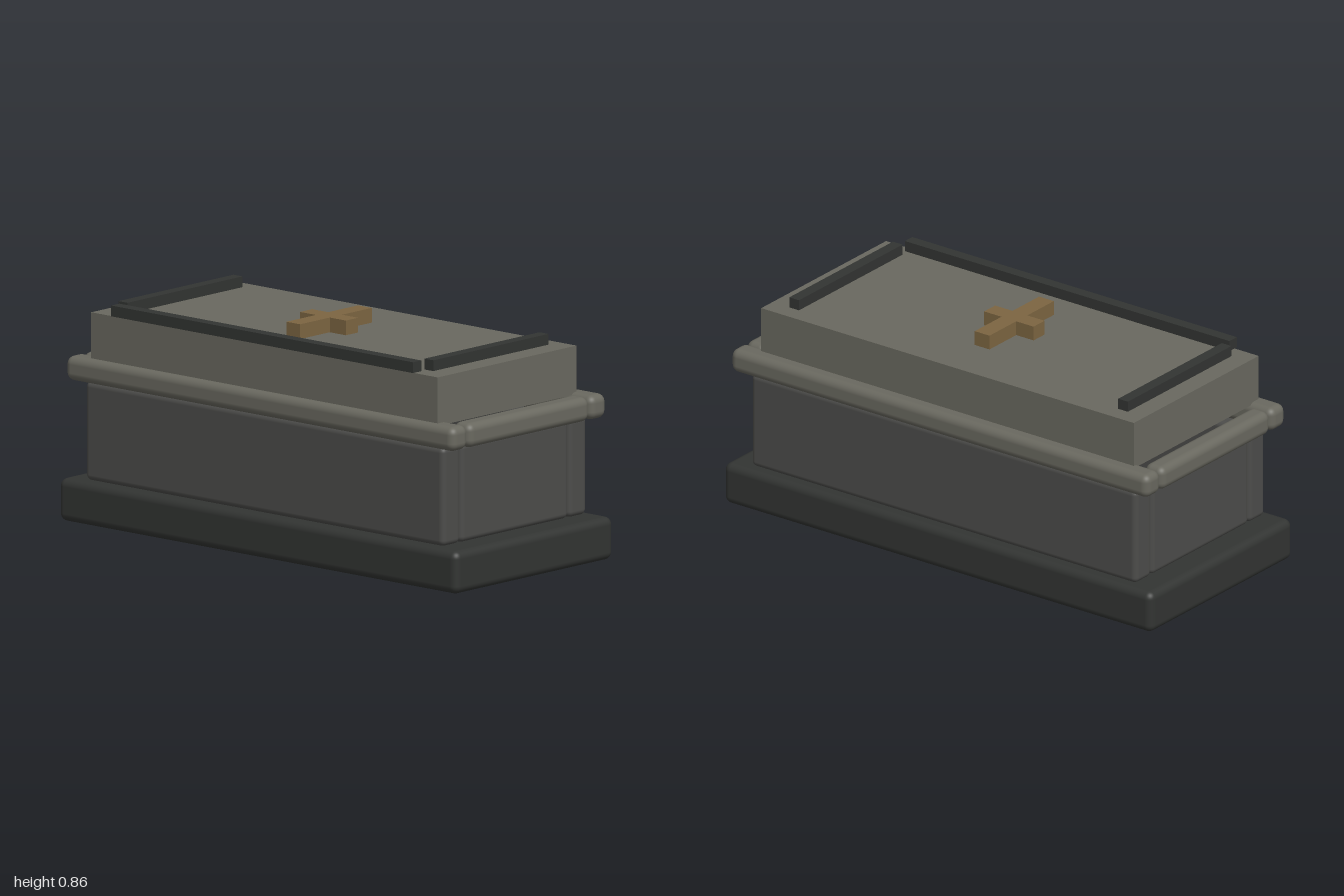
import * as THREE from 'three';
import { RoundedBoxGeometry } from 'three/addons/geometries/RoundedBoxGeometry.js';

const material = (color) => new THREE.MeshStandardMaterial({ color });

export function createModel() {
  const model = new THREE.Group();
  model.name = 'stoneTomb';

  const darkStone = material(0x323432);
  const wallStone = material(0x4c4c4a);
  const paleStone = material(0x69685f);
  const wood = material(0x7c6541);

  // Box given by its [min, max] extents; a radius rounds its edges
  function block(name, mat, [x0, x1], [y0, y1], [z0, z1], radius = 0, parent = model) {
    const size = [x1 - x0, y1 - y0, z1 - z0];
    const geometry = radius
      ? new RoundedBoxGeometry(...size, 4, radius)
      : new THREE.BoxGeometry(...size);
    const mesh = new THREE.Mesh(geometry, mat);
    mesh.name = name;
    mesh.position.set((x0 + x1) / 2, (y0 + y1) / 2, (z0 + z1) / 2);
    parent.add(mesh);
    return mesh;
  }
  // Extents mirrored to the negative side when s is -1
  const side = (s, a, b) => (s > 0 ? [a, b] : [-b, -a]);

  // Plinth
  block('plinth', darkStone, [-1, 1], [0, 0.163], [-0.44, 0.44], 0.03);

  // Chest walls and the rounded rim on top of them
  const wallY = [0.163, 0.54];
  const rimY = [0.537, 0.63];
  for (const s of [1, -1]) {
    const face = s > 0 ? 'front' : 'back';
    const hand = s > 0 ? 'left' : 'right';
    block(face + 'Wall', wallStone, [-0.9, 0.9], wallY, side(s, 0.3, 0.4), 0.022);
    block(hand + 'Wall', wallStone, side(s, 0.8, 0.9), wallY, [-0.3, 0.3], 0.022);
    block(face + 'Rim', paleStone, [-0.975, 0.975], rimY, side(s, 0.338, 0.43), 0.03);
    block(hand + 'Rim', paleStone, side(s, 0.885, 0.975), rimY, [-0.337, 0.337], 0.03);
  }

  // Lid slab, set slightly forward
  block('lid', paleStone, [-0.87, 0.87], [0.62, 0.805], [-0.373, 0.397]);

  // Trim strips on the lid: both ends and the front edge
  const trimY = [0.807, 0.848];
  block('leftTrim', darkStone, [0.743, 0.788], trimY, [-0.308, 0.331]);
  block('rightTrim', darkStone, [-0.793, -0.748], trimY, [-0.308, 0.331]);
  block('frontTrim', darkStone, [-0.76, 0.756], trimY, [0.362, 0.408]);

  // Wooden cross lying on the lid
  const cross = new THREE.Group();
  cross.name = 'cross';
  model.add(cross);
  const crossY = [0.806, 0.862];
  block('crossUpright', wood, [-0.037, 0.032], crossY, [-0.163, 0.234], 0, cross);
  block('crossLeftArm', wood, [0.032, 0.113], crossY, [0.002, 0.07], 0, cross);
  block('crossRightArm', wood, [-0.118, -0.037], crossY, [0.002, 0.07], 0, cross);

  return model;
}
